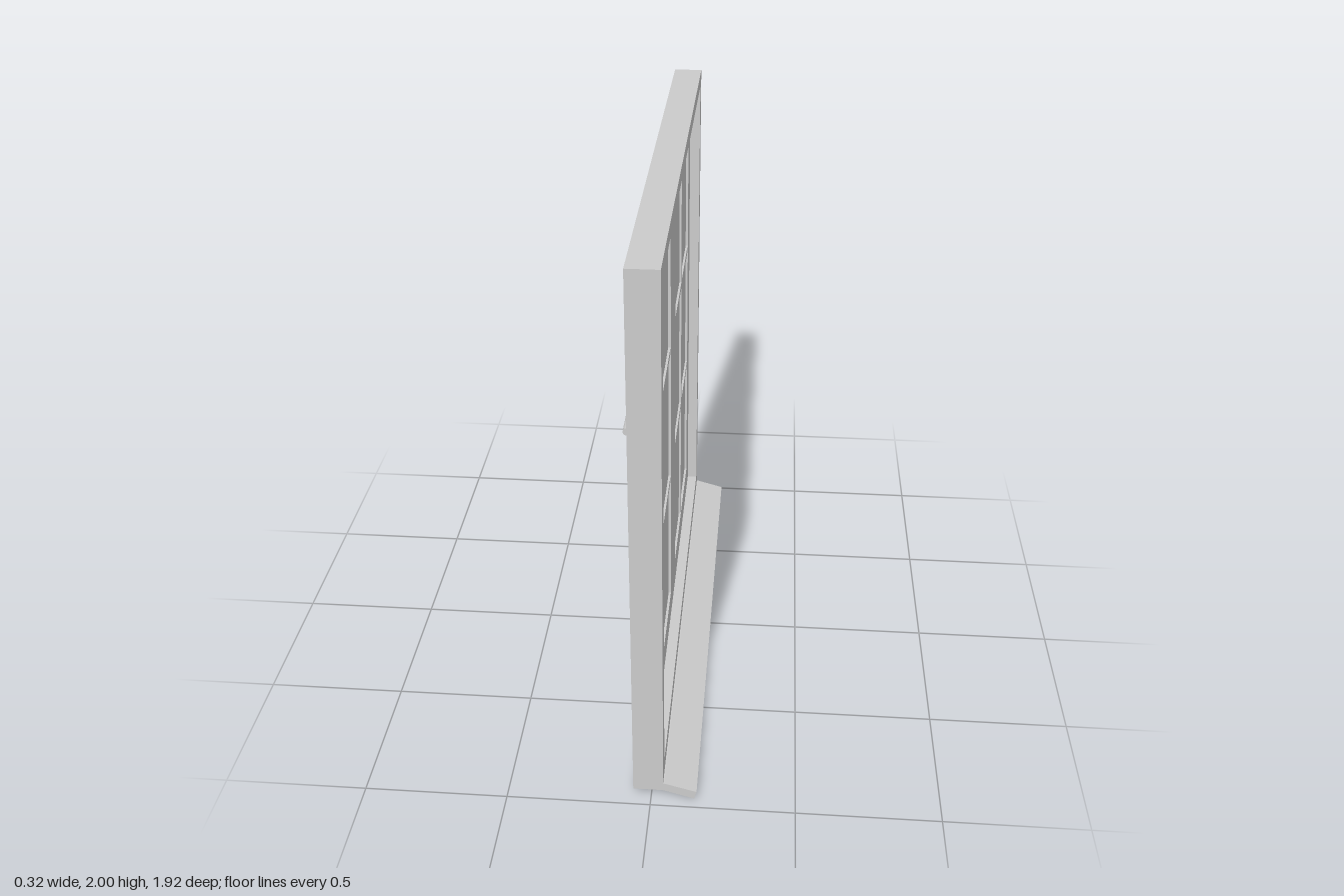
import * as THREE from 'three';

const material = new THREE.MeshStandardMaterial({ color: 0xcccccc });

function add(parent, name, geometry) {
  const mesh = new THREE.Mesh(geometry, material);
  mesh.name = name;
  parent.add(mesh);
  return mesh;
}

function trace(path, z0, z1, y0, y1) {
  path.moveTo(z0, y0);
  path.lineTo(z1, y0);
  path.lineTo(z1, y1);
  path.lineTo(z0, y1);
  path.closePath();
  return path;
}

// Upright plate in the y-z plane, from x0 to x1, with rectangular openings
function plate(outer, holes, x0, x1) {
  const shape = trace(new THREE.Shape(), ...outer);
  holes.forEach(h => shape.holes.push(trace(new THREE.Path(), ...h)));
  const geometry = new THREE.ExtrudeGeometry(shape, { depth: x1 - x0, bevelEnabled: false });
  return geometry.rotateY(Math.PI / 2).translate(x0, 0, 0);
}

function box(parent, name, size, position) {
  add(parent, name, new THREE.BoxGeometry(...size)).position.set(...position);
}

export function createModel() {
  const model = new THREE.Group();
  model.name = 'window';

  // Fixed outer frame
  add(model, 'outerFrame',
    plate([-0.96, 0.96, 0.06, 2], [[-0.905, 0.905, 0.12, 1.95]], -0.062, 0.042));

  // Sash panel set back inside the frame, with two glazed openings
  const y0 = 0.228, y1 = 1.842, zIn = 0.107, zOut = 0.802;
  const midX = -0.01, half = 0.013;
  add(model, 'sash', plate([-0.905, 0.905, 0.12, 1.95],
    [[-zOut, -zIn, y0, y1], [zIn, zOut, y0, y1]], midX - half, midX + half));

  for (const side of [-1, 1]) {
    const half = new THREE.Group();
    half.name = side > 0 ? 'leftCasement' : 'rightCasement';
    model.add(half);
    const zMid = side * (zIn + zOut) / 2;
    const width = zOut - zIn, height = y1 - y0;

    // Glass and glazing bars
    box(half, 'glass', [0.008, height, width], [midX, (y0 + y1) / 2, zMid]);
    box(half, 'verticalBar', [0.024, height, 0.024], [midX, (y0 + y1) / 2, zMid]);
    for (const k of [1, 2]) {
      box(half, 'horizontalBar', [0.024, 0.024, width], [midX, y0 + height * k / 3, zMid]);
    }

    // Lever handle: stem, rounded elbow, grip
    const p = (x, z) => new THREE.Vector3(x, 1.037, side * z);
    const path = new THREE.CurvePath();
    path.add(new THREE.LineCurve3(p(midX, 0.062), p(-0.09, 0.062)));
    path.add(new THREE.CubicBezierCurve3(
      p(-0.09, 0.062), p(-0.125, 0.062), p(-0.144, 0.085), p(-0.144, 0.13)));
    path.add(new THREE.LineCurve3(p(-0.144, 0.13), p(-0.144, 0.235)));
    add(half, 'handle', new THREE.TubeGeometry(path, 40, 0.016, 16));
    const cap = add(half, 'handleEnd', new THREE.CircleGeometry(0.016, 16));
    cap.position.copy(p(-0.144, 0.235));
    if (side < 0) cap.rotation.y = Math.PI;
  }

  // Sill with a sloping drip edge
  const profile = [[-0.062, 0.032], [0.04, 0.032], [0.15, 0], [0.158, 0.032], [0.046, 0.063], [-0.062, 0.063]];
  const sill = new THREE.Shape(profile.map(([x, y]) => new THREE.Vector2(x, y)));
  add(model, 'sill', new THREE.ExtrudeGeometry(sill, { depth: 1.92, bevelEnabled: false })
    .translate(0, 0, -0.96));

  return model;
}
